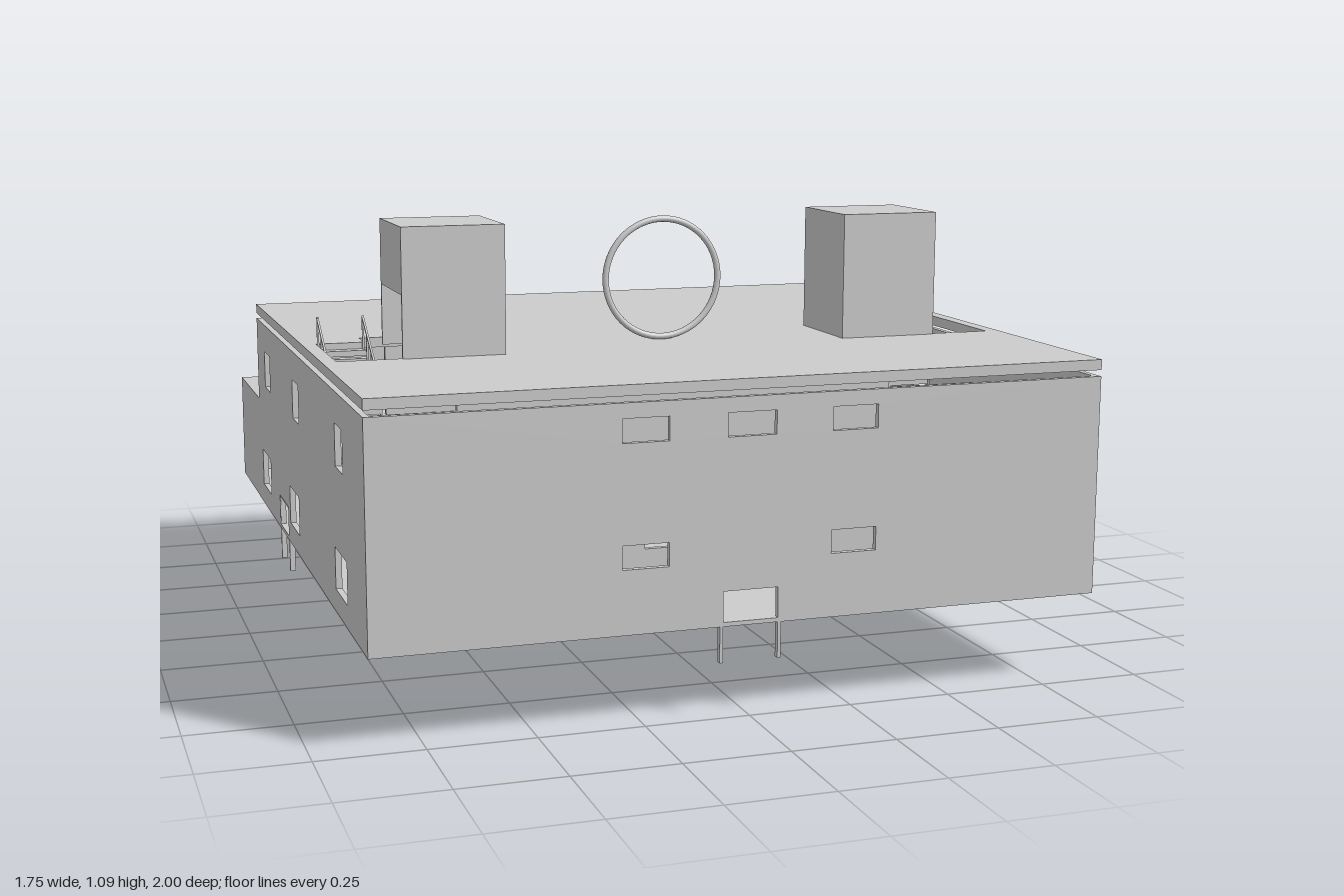
import * as THREE from 'three';

const mat = new THREE.MeshStandardMaterial({ color: 0xcccccc, flatShading: true, side: THREE.DoubleSide });
const ringMat = new THREE.MeshStandardMaterial({ color: 0xcccccc });
const T = 0.015; // wall thickness

export function createModel() {
  const model = new THREE.Group();

  const add = (name, geo, material = mat) => {
    const mesh = new THREE.Mesh(geo, material);
    mesh.name = name;
    model.add(mesh);
    return mesh;
  };
  // box from min and max corners
  const box = (name, x0, x1, y0, y1, z0, z1) =>
    add(name, new THREE.BoxGeometry(x1 - x0, y1 - y0, z1 - z0)).position.set((x0 + x1) / 2, (y0 + y1) / 2, (z0 + z1) / 2);
  const polygon = (Type, pts) => new Type(pts.map(([a, b]) => new THREE.Vector2(a, b)));
  const rect = (Type, [a0, a1, b0, b1]) => polygon(Type, [[a0, b0], [a1, b0], [a1, b1], [a0, b1]]);
  const panel = (outline, holes, depth) => {
    const shape = rect(THREE.Shape, outline);
    shape.holes = holes;
    return new THREE.ExtrudeGeometry(shape, { depth, bevelEnabled: false });
  };
  // upright walls with rectangular openings [u0, u1, y0, y1]
  const wallAlongX = (name, z, outline, openings) =>
    add(name, panel(outline, openings.map((o) => rect(THREE.Path, o)), T).translate(0, 0, z));
  const wallAlongZ = (name, x, outline, openings) =>
    add(name, panel(outline, openings.map((o) => rect(THREE.Path, o)), T).rotateY(-Math.PI / 2).translate(x + T, 0, 0));
  // horizontal slab hanging down from y = top
  const slab = (name, top, thick, outline, holes) =>
    add(name, panel(outline, holes, thick).rotateX(Math.PI / 2).translate(0, top, 0));
  // thin round-free bar between two points
  const bar = (name, a, b, w) => {
    const p = new THREE.Vector3(...a), q = new THREE.Vector3(...b);
    const m = add(name, new THREE.BoxGeometry(w, w, p.distanceTo(q)));
    m.position.copy(p).add(q).multiplyScalar(0.5);
    m.lookAt(q);
  };

  // Outer walls with windows and doors
  const frontOpenings = [[-0.07, 0.07, 0.225, 0.305], [-0.058, 0.058, 0.65, 0.705]];
  for (const x of [-0.305, 0.195]) frontOpenings.push([x, x + 0.11, 0.65, 0.705], [x, x + 0.11, 0.365, 0.42]);
  wallAlongX('frontWall', 1 - T, [-0.875, 0.875, 0.215, 0.74], frontOpenings);

  const backOpenings = [[-0.15, 0.15, 0.225, 0.4], [-0.295, -0.2, 0.27, 0.37], [0.2, 0.295, 0.27, 0.37]];
  wallAlongX('backWall', -1, [-0.875, 0.875, 0.215, 0.51], backOpenings);
  wallAlongX('upperBackWall', -0.62, [-0.875, 0.875, 0.49, 0.74], []);

  const sideDoor = [-0.255, -0.11, 0.225, 0.305];
  const sideOpenings = [sideDoor];
  for (const z of [0.645, 0.02, -0.48]) sideOpenings.push([z, z + 0.095, 0.565, 0.665]);
  for (const z of [0.615, -0.07, -0.57]) sideOpenings.push([z, z + 0.15, 0.27, 0.37]);
  for (const x of [-0.875, 0.875 - T]) {
    wallAlongZ('sideWall', x, [-0.62, 1, 0.215, 0.74], sideOpenings);
    wallAlongZ('rearWingSideWall', x, [-1, -0.62, 0.215, 0.51], []);
  }

  // Stairwells: same layout on both sides
  const wellStarts = [-0.84, 0.6];
  const wells = () => wellStarts.map((x) => polygon(THREE.Path,
    [[x, 0.2], [x + 0.12, 0.2], [x + 0.12, 0.13], [x + 0.24, 0.13], [x + 0.24, 0.49], [x, 0.49]]));

  // Floors and roofs
  box('groundFloor', -0.875, 0.875, 0.215, 0.225, -1, 1);
  slab('upperFloor', 0.49, 0.015, [-0.86, 0.86, -0.62, 0.985], wells());
  slab('roof', 0.78, 0.025, [-0.875, 0.875, -0.62, 1], wells());
  box('rearWingRoof', -0.875, 0.875, 0.495, 0.51, -1, -0.605);

  // Inner partitions on the ground floor
  for (const z of [0.5, -0.37])
    wallAlongX('crossPartition', z, [-0.56, 0.56, 0.225, 0.475], [[-0.095, 0.095, 0.28, 0.4]]);
  for (const x of [-0.375, 0.375])
    wallAlongZ('longPartition', x - T / 2, [-0.37, 0.5, 0.225, 0.475], [[0, 0.13, 0.23, 0.35]]);
  // Inner partitions on the upper floor
  for (const z of [0.5, -0.37])
    wallAlongX('upperPartition', z, [-0.56, 0.56, 0.49, 0.74], []);

  // Door frames, whose posts run down below the floor
  const frameAlongX = (z, x, y0, y1, w = 0.008) => {
    for (const s of [-x, x]) box('doorPost', s - w / 2, s + w / 2, y0, y1, z, z + T);
    box('doorHead', -x - w / 2, x + w / 2, y1 - w, y1, z, z + T);
  };
  const frameAlongZ = (x, z0, z1, y0, y1, w = 0.006) => {
    for (const z of [z0, z1]) box('doorPost', x - 0.007, x + 0.007, y0, y1, z - w / 2, z + w / 2);
    box('doorHead', x - 0.007, x + 0.007, y1 - w, y1, z0, z1);
  };
  frameAlongX(-1, 0.15, 0, 0.4);
  frameAlongX(1 - T, 0.07, 0.13, 0.305);
  frameAlongX(0.5, 0.095, 0.105, 0.4);
  frameAlongX(-0.37, 0.095, 0.105, 0.4);
  for (const s of [-1, 1]) {
    frameAlongZ(s * 0.867, -0.255, -0.11, 0.13, 0.305);
    frameAlongZ(s * 0.375, 0, 0.13, 0.13, 0.35);
    frameAlongZ(s * 0.56, 0.46, 0.55, 0.14, 0.35);
  }

  // Stairs: upper flight, landing and lower flight for each storey
  const stair = (x, top, height) => {
    const drop = height / 2, n = 8, landing = top - drop;
    for (let i = 0; i < n; i++) {
      const y = top - (drop * (i + 1)) / (n + 1), z = 0.2 + (0.22 * i) / n;
      box('upperStep', x, x + 0.12, y - 0.014, y, z, z + 0.22 / n);
      const y2 = landing - (drop * (i + 1)) / (n + 1), z2 = 0.42 - (0.29 * i) / n;
      box('lowerStep', x + 0.12, x + 0.24, y2 - 0.014, y2, z2 - 0.29 / n, z2);
    }
    box('landing', x, x + 0.24, landing - 0.015, landing, 0.42, 0.49);
    // railings on both sides of the upper flight
    for (const rx of [x + 0.005, x + 0.117]) {
      bar('handrail', [rx, top + 0.065, 0.2], [rx, landing + 0.065, 0.42], 0.005);
      for (let i = 0; i <= 4; i++) {
        const y = top - (drop * i) / 4, z = 0.203 + 0.054 * i;
        bar('baluster', [rx, y - 0.03, z], [rx, y + 0.065, z], 0.005);
      }
    }
  };
  for (const x of wellStarts) {
    stair(x, 0.78, 0.29);
    stair(x, 0.49, 0.265);
  }

  // Roof cabins, open at the foot of the outer side
  for (const s of [-1, 1]) {
    const xa = s < 0 ? -0.685 : 0.435, xb = xa + 0.25;
    box('cabinRoof', xa, xb, 1.08, 1.09, 0.25, 0.5);
    box('cabinBackWall', xa, xb, 0.78, 1.08, 0.25, 0.256);
    box('cabinFrontWall', xa, xb, 0.78, 1.08, 0.494, 0.5);
    const outer = s < 0 ? xa : xb - 0.006, inner = s < 0 ? xb - 0.006 : xa;
    box('cabinInnerWall', inner, inner + 0.006, 0.78, 1.08, 0.256, 0.494);
    box('cabinOuterWall', outer, outer + 0.006, 0.93, 1.08, 0.256, 0.494);
  }

  // Upright ring on the roof
  add('roofRing', new THREE.TorusGeometry(0.147, 0.008, 12, 64), ringMat).position.set(0, 0.934, 0.372);

  return model;
}
